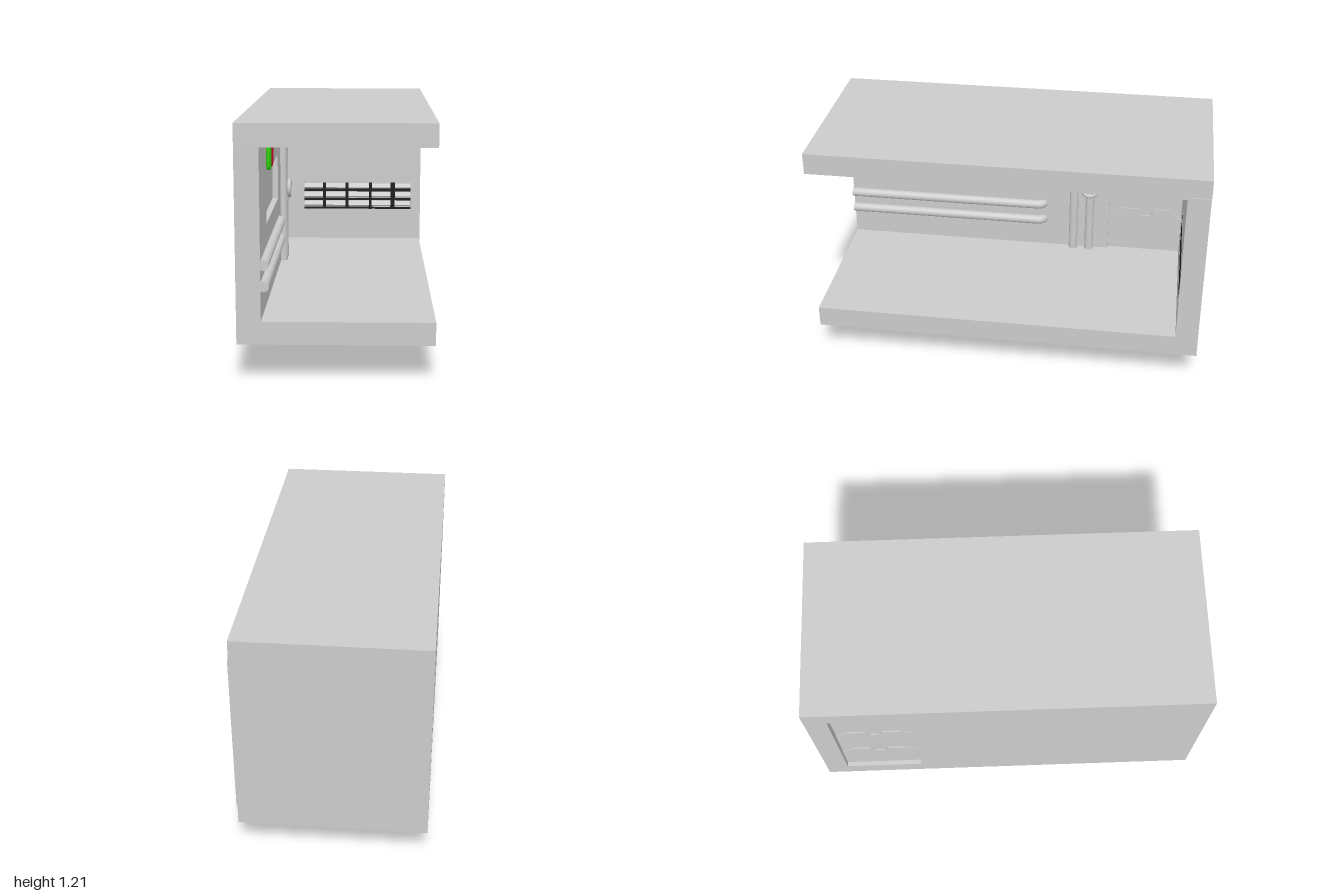
import * as THREE from 'three';

const paint = (color) => new THREE.MeshStandardMaterial({ color });
const GREY = paint(0xcccccc), BLACK = paint(0x1a1a1a), BROWN = paint(0x5a2412);
const GREEN = paint(0x2fd010), RED = paint(0xd01030);

export function createModel() {
  const model = new THREE.Group();
  const add = (name, geometry, material = GREY, parent = model) => {
    const mesh = new THREE.Mesh(geometry, material);
    mesh.name = name;
    parent.add(mesh);
    return mesh;
  };
  // Box given by its limits on each axis
  const slab = (name, [x0, x1], [y0, y1], [z0, z1], material, parent) => {
    const mesh = add(name, new THREE.BoxGeometry(x1 - x0, y1 - y0, z1 - z0), material, parent);
    mesh.position.set((x0 + x1) / 2, (y0 + y1) / 2, (z0 + z1) / 2);
    return mesh;
  };
  const polygon = (points) => points.map(([a, b]) => new THREE.Vector2(a, b));
  const rect = (a0, a1, b0, b1) => polygon([[a0, b0], [a1, b0], [a1, b1], [a0, b1]]);
  const plate = (outline, holes, depth) => {
    const shape = new THREE.Shape(outline);
    for (const hole of holes) shape.holes.push(new THREE.Path(hole));
    return new THREE.ExtrudeGeometry(shape, { depth, bevelEnabled: false });
  };
  // Plate drawn in (z, y), reaching from x0 to x1
  const sidePlate = (name, outline, holes, x0, x1, parent) => {
    const mesh = add(name, plate(outline, holes, x1 - x0).rotateY(-Math.PI / 2), GREY, parent);
    mesh.position.x = x1;
    return mesh;
  };

  // Floor and roof
  slab('floor', [-0.465, 0.459], [0.18, 0.29], [-1, 1]);
  slab('roof', [-0.465, 0.459], [1.1, 1.21], [-1, 1]);

  // Side wall: solid outer layer and inner layer with a window recess, split by the doorway
  const wall = new THREE.Group();
  wall.name = 'sideWall';
  model.add(wall);
  sidePlate('outerLayer', rect(-0.48, 1, 0.29, 1.1), [], -0.465, -0.38, wall);
  sidePlate('innerLayer', rect(-0.48, 1, 0.29, 1.1), [rect(-0.08, 0.635, 0.68, 0.92)], -0.38, -0.35, wall);

  // Back wall with a shallow vent recess on the inside
  slab('backWall', [-0.465, 0.464], [0.28, 1.113], [-0.999, -0.925]);
  const backInner = add('backWallLining',
    plate(rect(-0.465, 0.464, 0.28, 1.113), [rect(-0.25, 0.405, 0.475, 0.64)], 0.04));
  backInner.position.z = -0.925;

  // Vent: tilted grey slats behind a black grid
  const vent = new THREE.Group();
  vent.name = 'vent';
  model.add(vent);
  for (const y of [0.505, 0.56, 0.615]) {
    const slat = slab('ventSlat', [-0.25, 0.405], [y - 0.005, y + 0.005], [-0.925, -0.888], GREY, vent);
    slat.rotation.x = 0.6;
  }
  for (const [y, h] of [[0.48, 0.01], [0.535, 0.012], [0.592, 0.015]])
    slab('ventRail', [-0.25, 0.405], [y - h / 2, y + h / 2], [-0.9, -0.886], BLACK, vent);
  for (const [x, w] of [[-0.126, 0.018], [0.012, 0.018], [0.157, 0.018], [0.295, 0.027]])
    slab('ventBar', [x - w / 2, x + w / 2], [0.475, 0.64], [-0.91, -0.884], BLACK, vent);

  // Door: three overlapping plates with notched top edges, thicker towards the bottom
  const door = new THREE.Group();
  door.name = 'door';
  model.add(door);
  [0.55, 0.82, 1.1].forEach((top, i) => {
    const low = top - 0.05, half = 0.036 - i * 0.006;
    const outline = polygon([[-0.885, 0.29], [-0.48, 0.29], [-0.48, low], [-0.55, top], [-0.64, top],
      [-0.66, low + 0.01], [-0.71, low + 0.01], [-0.73, top], [-0.82, top], [-0.885, low]]);
    sidePlate('doorPlate', outline, [], -0.405 - half, -0.405 + half, door);
  });
  slab('doorCore', [-0.425, -0.385], [1.03, 1.1], [-0.885, -0.48], BROWN, door);

  // Upright pipes passing through the floor
  for (const z of [-0.28, -0.37]) {
    const pipe = add('uprightPipe', new THREE.CylinderGeometry(0.024, 0.024, 1.1, 20));
    pipe.position.set(-0.338, 0.55, z);
  }

  // Valve wheel on the rear pipe
  const valve = new THREE.Group();
  valve.name = 'valve';
  valve.position.set(-0.307, 0.69, -0.37);
  valve.rotation.y = Math.PI / 2;
  model.add(valve);
  add('valveRim', new THREE.TorusGeometry(0.044, 0.011, 10, 28), GREY, valve);
  add('valveStem', new THREE.CylinderGeometry(0.01, 0.01, 0.04, 12).rotateX(Math.PI / 2), GREY, valve)
    .position.z = -0.012;
  for (const angle of [Math.PI / 4, -Math.PI / 4])
    add('valveSpoke', new THREE.BoxGeometry(0.085, 0.009, 0.009), GREY, valve).rotation.z = angle;

  // Long pipes along the wall, bending into it at the rear
  for (const y of [0.455, 0.555]) {
    const path = new THREE.CurvePath();
    const p = (x, z) => new THREE.Vector3(x, y, z);
    path.add(new THREE.LineCurve3(p(-0.336, 1), p(-0.336, -0.07)));
    path.add(new THREE.QuadraticBezierCurve3(p(-0.336, -0.07), p(-0.336, -0.11), p(-0.375, -0.11)));
    add('wallPipe', new THREE.TubeGeometry(path, 80, 0.025, 16));
    add('wallPipeCap', new THREE.CircleGeometry(0.025, 16)).position.set(-0.336, y, 1);
  }

  // Signal lamps with chamfered ends
  const lampProfile = polygon([[0, -0.06], [0.021, -0.06], [0.03, -0.042], [0.03, 0.042], [0.021, 0.06], [0, 0.06]]);
  for (const [name, z, material] of [['greenLamp', 0.6, GREEN], ['redLamp', 0.48, RED]]) {
    const lamp = add(name, new THREE.LatheGeometry(lampProfile, 20), material);
    lamp.scale.x = 0.45;
    lamp.position.set(-0.34, 1, z);
  }
  return model;
}
